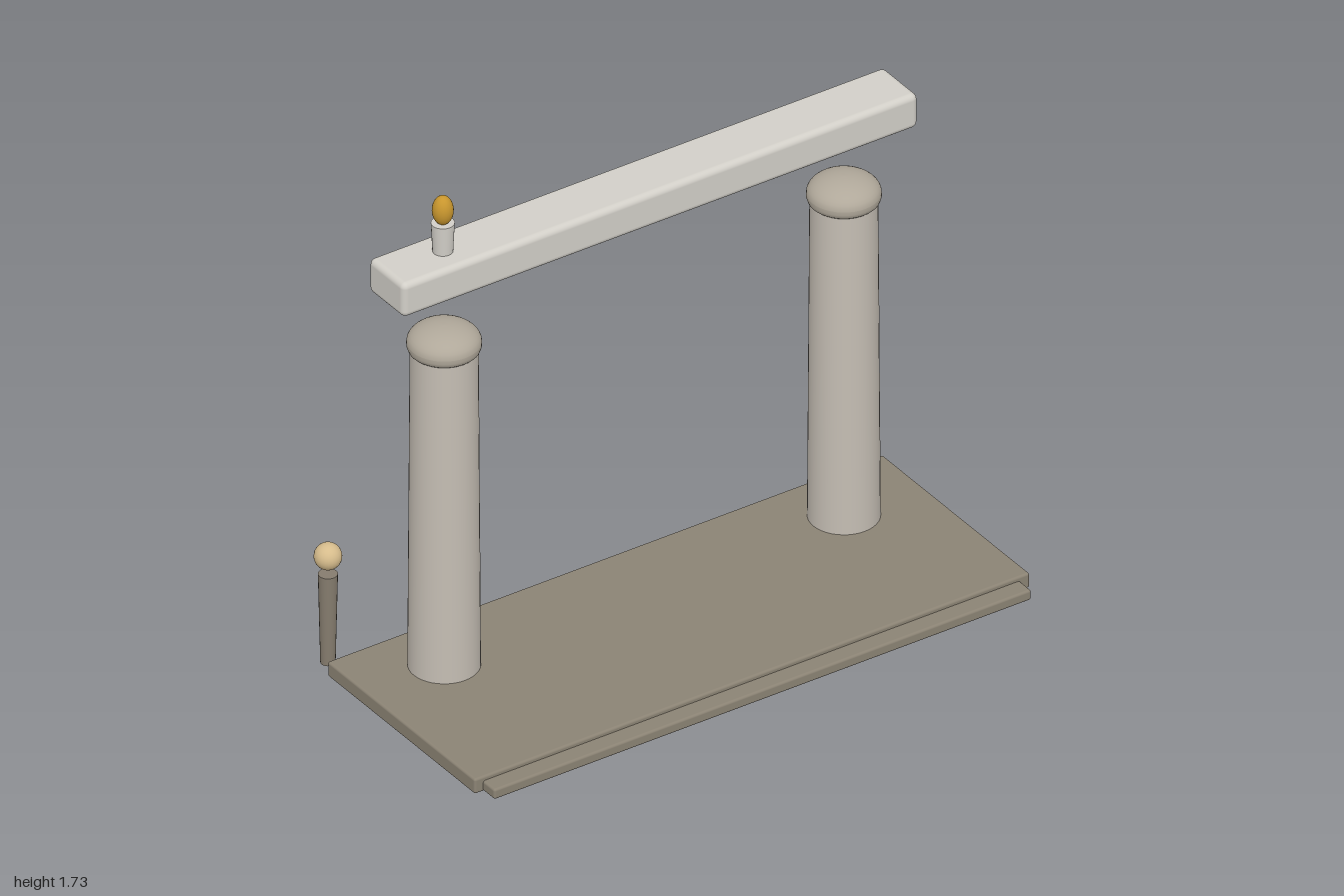
import * as THREE from 'three';
import { RoundedBoxGeometry } from 'three/addons/geometries/RoundedBoxGeometry.js';

const mat = (color) => new THREE.MeshStandardMaterial({ color });
const V = (x, y) => new THREE.Vector2(x, y);

export function createModel() {
  const group = new THREE.Group();
  const slab = mat(0x8b8374), stone = mat(0xc4bdb3), capStone = mat(0xb0a89a);
  const paleStone = mat(0xd2cfc8), wood = mat(0x857c6e), tan = mat(0xd6bc8c);
  const gold = mat(0xc8962e), olive = mat(0x8f8462);

  const add = (name, geometry, material, x, y, z, parent = group) => {
    const mesh = new THREE.Mesh(geometry, material);
    mesh.name = name;
    mesh.position.set(x, y, z);
    parent.add(mesh);
    return mesh;
  };
  // Rounded box given by its limits on each axis
  const box = (name, material, [x0, x1], [y0, y1], [z0, z1], r) =>
    add(name, new RoundedBoxGeometry(x1 - x0, y1 - y0, z1 - z0, 3, r), material,
      (x0 + x1) / 2, (y0 + y1) / 2, (z0 + z1) / 2);

  // Floor slab with its front step and the panel set underneath
  box('floorSlab', slab, [-1, 1], [0.01, 0.063], [-0.37, 0.41], 0.008);
  box('frontStep', slab, [-0.97, 0.965], [0.012, 0.048], [0.36, 0.47], 0.008);
  const panel = add('undersidePanel', new THREE.BoxGeometry(0.86, 0.012, 0.47), olive, -0.03, 0.0105, 0.005);
  panel.rotation.x = 0.018;

  // Columns with mushroom-shaped caps
  const capProfile = [V(0, 1.175), V(0.098, 1.178), V(0.109, 1.188), V(0.113, 1.2), V(0.113, 1.212)];
  const dome = [];
  for (let i = 0; i <= 10; i++) {
    const a = (i / 10) * Math.PI / 2;
    dome.push(V(i === 10 ? 0 : 0.113 * Math.cos(a), 1.212 + 0.058 * Math.sin(a)));
  }
  for (const side of [-1, 1]) {
    const column = new THREE.Group();
    column.name = side < 0 ? 'rightColumn' : 'leftColumn';
    column.position.set(side * 0.72, 0, -0.163);
    group.add(column);
    add('shaft', new THREE.CylinderGeometry(0.103, 0.11, 1.13, 40), stone, 0, 0.62, 0, column);
    add('capRim', new THREE.LatheGeometry(capProfile, 40), capStone, 0, 0, 0, column);
    add('capDome', new THREE.LatheGeometry(dome, 40), capStone, 0, 0, 0, column);
  }

  // Floating lintel beam
  box('beam', paleStone, [-0.93, 0.927], [1.415, 1.535], [-0.257, -0.07], 0.02);

  // Candle holder and flame on the beam
  add('candleHolder', new THREE.CylinderGeometry(0.036, 0.031, 0.105, 24), paleStone, -0.725, 1.583, -0.163);
  const flame = add('flame', new THREE.SphereGeometry(1, 24, 16), gold, -0.725, 1.68, -0.163);
  flame.scale.set(0.033, 0.049, 0.033);

  // Rear posts with floating globes
  for (const side of [-1, 1]) {
    const x = side * 0.95 - 0.005;
    const prefix = side < 0 ? 'right' : 'left';
    add(prefix + 'Post', new THREE.CylinderGeometry(0.03, 0.023, 0.315, 20), wood, x, 0.167, -0.433);
    add(prefix + 'Globe', new THREE.SphereGeometry(0.043, 24, 16), tan, x, 0.387, -0.433);
  }
  return group;
}
